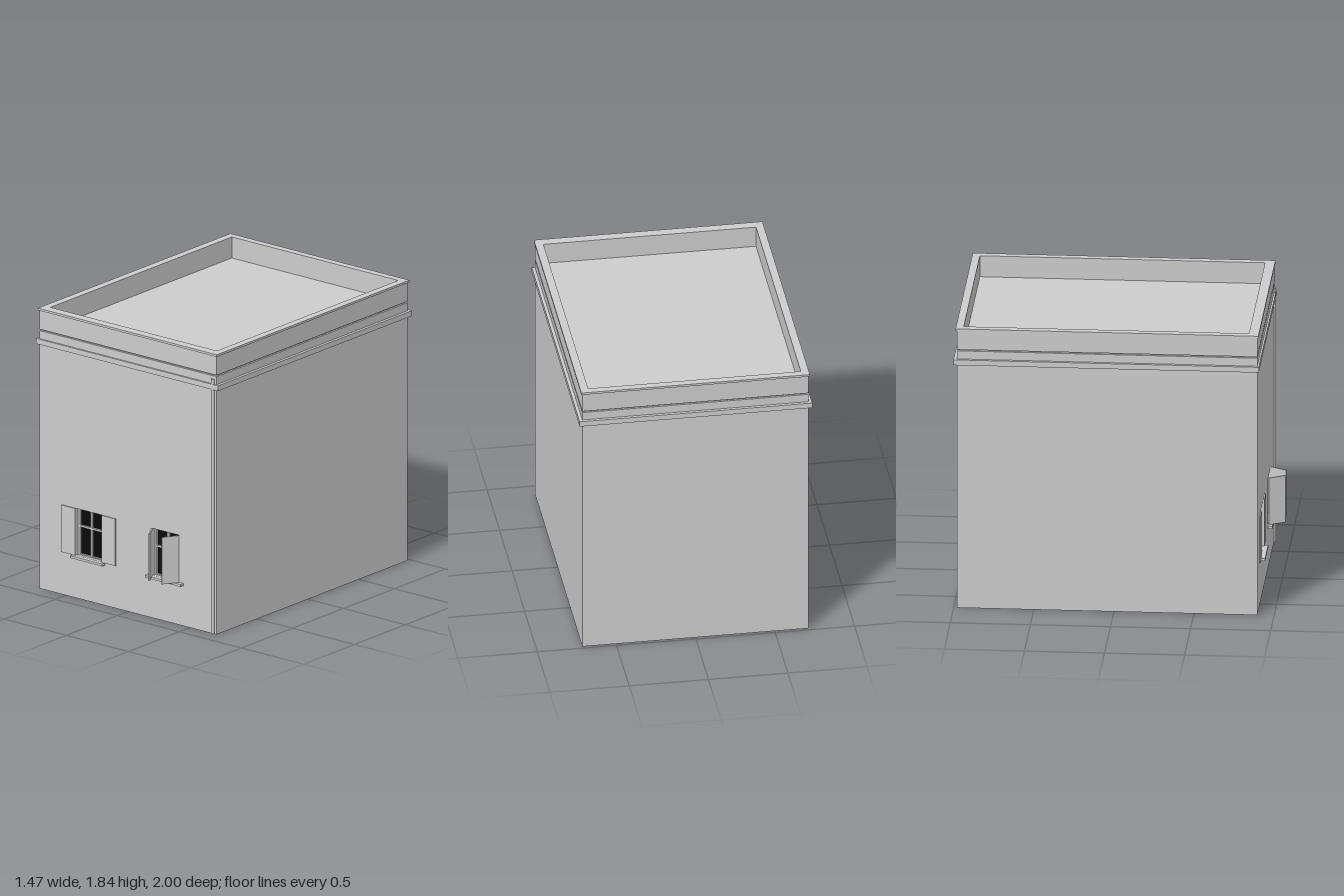
import * as THREE from 'three';

const plaster = new THREE.MeshStandardMaterial({ color: 0xcccccc });
plaster.name = 'plaster grey';
const glass = new THREE.MeshStandardMaterial({ color: 0x0a0a0a });
glass.name = 'dark glass';

const FRONT = 0.895, BACK = -0.98, SIDE = 0.713;

// Box given by its minimum and maximum on each axis
function box(name, [x0, x1], [y0, y1], [z0, z1], mat = plaster) {
  const m = new THREE.Mesh(new THREE.BoxGeometry(x1 - x0, y1 - y0, z1 - z0), mat);
  m.position.set((x0 + x1) / 2, (y0 + y1) / 2, (z0 + z1) / 2);
  m.name = name;
  return m;
}

// Rectangle traced as a shape or a hole
function rect(x0, x1, y0, y1, Kind = THREE.Shape) {
  return new Kind([[x0, y0], [x1, y0], [x1, y1], [x0, y1]].map(p => new THREE.Vector2(...p)));
}

// Rectangular ring lying flat, from y0 to y1
function ring(name, side, back, front, y0, y1) {
  const s = rect(-side, side, -front, -back);
  s.holes.push(rect(-0.67, 0.67, -0.84, 0.94, THREE.Path));
  const g = new THREE.ExtrudeGeometry(s, { depth: y1 - y0, bevelEnabled: false });
  g.rotateX(-Math.PI / 2);
  const m = new THREE.Mesh(g, plaster);
  m.position.y = y0;
  m.name = name;
  return m;
}

// Recessed window with frame, glazing bars, sill and two shutters swung by an angle
function makeWindow(name, cx, width, sillHalf, swing) {
  const g = new THREE.Group();
  g.name = name;
  const y0 = 0.28, y1 = 0.588, h = width / 2, z = [0.856, 0.872], t = 0.014;
  g.add(box('glass', [cx - h, cx + h], [y0, y1], [0.851, 0.857], glass));
  for (const s of [-1, 1]) {
    const edge = cx + s * (h - t / 2);
    g.add(box('frameSide', [edge - t / 2, edge + t / 2], [y0, y1], z));
  }
  g.add(box('frameTop', [cx - h, cx + h], [y1 - t / 2, y1], z));
  g.add(box('frameBottom', [cx - h, cx + h], [y0, y0 + t / 2], z));
  g.add(box('verticalBar', [cx - 0.007, cx + 0.007], [y0, y1], z));
  g.add(box('crossBar', [cx - h, cx + h], [0.463, 0.475], z));
  g.add(box('sill', [cx - sillHalf, cx + sillHalf], [0.264, 0.279], [0.86, 0.924]));
  for (const s of [-1, 1]) {
    const hinge = new THREE.Group();
    hinge.name = 'shutterHinge';
    hinge.position.set(cx + s * h, 0, FRONT + 0.004);
    const leaf = box('shutter', s < 0 ? [-0.112, 0] : [0, 0.112], [y0, y1], [-0.004, 0.004]);
    hinge.rotation.y = -s * swing;
    hinge.add(leaf);
    g.add(hinge);
  }
  return g;
}

export function createModel() {
  const model = new THREE.Group();
  model.name = 'house';

  // Main block and front wall with window openings
  model.add(box('mainBlock', [-SIDE, SIDE], [0, 1.61], [BACK, 0.85]));
  const wall = rect(-SIDE, SIDE, 0, 1.61);
  wall.holes.push(rect(-0.42, -0.208, 0.28, 0.588, THREE.Path));
  wall.holes.push(rect(0.197, 0.411, 0.28, 0.588, THREE.Path));
  const front = new THREE.Mesh(
    new THREE.ExtrudeGeometry(wall, { depth: FRONT - 0.85, bevelEnabled: false }), plaster);
  front.position.z = 0.85;
  front.name = 'frontWall';
  model.add(front);

  // Ledge, frieze, narrow groove, parapet and coping
  model.add(box('ledge', [-0.733, 0.733], [1.605, 1.64], [-1, 0.906]));
  model.add(box('frieze', [-SIDE, SIDE], [1.64, 1.693], [BACK, FRONT]));
  model.add(box('roof', [-0.7, 0.7], [1.693, 1.702], [BACK + 0.013, FRONT - 0.013]));
  model.add(ring('parapet', SIDE, BACK, FRONT, 1.702, 1.826));
  model.add(ring('coping', 0.72, -0.988, 0.902, 1.826, 1.84));

  // Open window, and window with shutters half closed
  model.add(makeWindow('leftWindow', -0.314, 0.212, 0.13, 0));
  model.add(makeWindow('rightWindow', 0.304, 0.214, 0.143, Math.PI - 1.04));

  // Downpipe at the front corner
  const pipe = new THREE.Mesh(new THREE.CylinderGeometry(0.012, 0.012, 1.672, 12), plaster);
  pipe.position.set(0.683, 0.836, 0.896);
  pipe.name = 'downpipe';
  model.add(pipe);

  return model;
}
